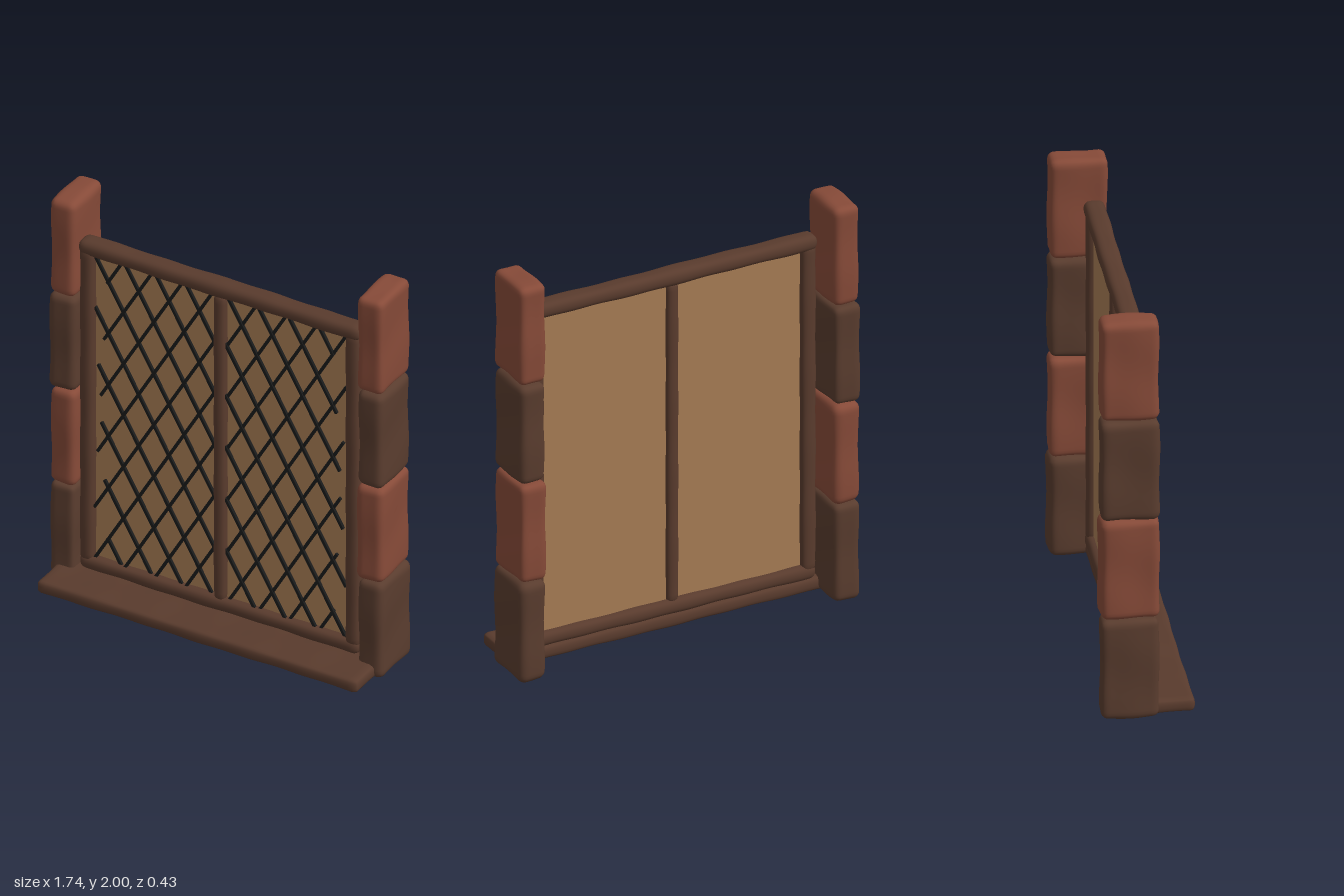
import * as THREE from 'three';
import { mergeVertices } from 'three/addons/utils/BufferGeometryUtils.js';

const mat = (name, color) => {
  const m = new THREE.MeshStandardMaterial({ color });
  m.name = name;
  return m;
};

// Rounded box with a gentle hand-hewn wobble, smooth shaded
function hewnBox(w, h, d, radius, wobble, seed, step) {
  const n = (s) => Math.max(5, Math.min(70, Math.round(s / step)));
  let g = new THREE.BoxGeometry(w, h, d, n(w), n(h), n(d));
  g.deleteAttribute('uv');
  g.deleteAttribute('normal');
  g = mergeVertices(g, 1e-5);
  const half = new THREE.Vector3(w / 2 - radius, h / 2 - radius, d / 2 - radius);
  const p = g.attributes.position;
  const v = new THREE.Vector3(), core = new THREE.Vector3();
  for (let i = 0; i < p.count; i++) {
    v.fromBufferAttribute(p, i);
    core.copy(v).clamp(half.clone().negate(), half);
    const dir = v.clone().sub(core).normalize();
    const bump = Math.sin(v.x * 23 + seed * 1.7) + Math.sin(v.y * 17 + seed * 2.9 + v.z * 9)
      + Math.sin(v.z * 25 + seed * 4.1 + v.x * 8);
    v.copy(core).addScaledVector(dir, radius + wobble * (bump / 3 - 0.3));
    p.setXYZ(i, v.x, v.y, v.z);
  }
  g.computeVertexNormals();
  return g;
}

export function createModel() {
  const model = new THREE.Group();
  model.name = 'latticeWindow';
  const brick = mat('red brick', 0x864a38);
  const stone = mat('brown stone', 0x593c2e);
  const wood = mat('dark wood', 0x593b2d);
  const pane = mat('amber pane', 0xa67c54);
  const lead = mat('black lead', 0x191a1a);

  const add = (name, geometry, material, x, y, z) => {
    const mesh = new THREE.Mesh(geometry, material);
    mesh.name = name;
    mesh.position.set(x, y, z);
    model.add(mesh);
    return mesh;
  };
  // Beam given by its limits on each axis
  const beam = (name, [x0, x1], [y0, y1], [z0, z1], radius, seed) =>
    add(name, hewnBox(x1 - x0, y1 - y0, z1 - z0, radius, 0.004, seed, 0.013), wood,
      (x0 + x1) / 2, (y0 + y1) / 2, (z0 + z1) / 2);

  // Stacked blocks on both sides, alternating colours
  for (const side of [-1, 1]) {
    for (let i = 0; i < 4; i++) {
      add((side > 0 ? 'left' : 'right') + 'Block' + (i + 1),
        hewnBox(0.135, 0.496, 0.268, 0.034, 0.008, i * 2 + side + 3, 0.014),
        i % 2 ? brick : stone, side * 0.797, 0.256 + i * 0.497, -0.08);
    }
  }

  // Sill and window frame
  beam('sill', [-0.83, 0.83], [0.008, 0.075], [-0.05, 0.216], 0.024, 1);
  beam('bottomRail', [-0.725, 0.725], [0.072, 0.147], [-0.062, 0.032], 0.033, 2);
  beam('topRail', [-0.73, 0.73], [1.73, 1.806], [-0.066, 0.032], 0.033, 5);
  beam('leftPost', [0.65, 0.728], [0.11, 1.77], [-0.06, 0.03], 0.034, 3);
  beam('rightPost', [-0.728, -0.65], [0.11, 1.77], [-0.06, 0.03], 0.034, 4);
  beam('centrePost', [-0.033, 0.033], [0.125, 1.745], [-0.055, 0.027], 0.03, 6);

  // Pane
  add('pane', new THREE.BoxGeometry(1.34, 1.64, 0.016), pane, 0, 0.935, -0.018);

  // Diagonal lead bars at sixty degrees, mirrored about the middle height and the centre post
  const slope = Math.sqrt(3), bottom = 0.14, top = 1.732, middle = 0.935;
  for (let i = -5; i <= 4; i++) {
    const c = 0.334 - 0.272 * i;
    const xMax = Math.min(0.652 - 0.0165 * Math.max(i, 0), (top - c) / slope);
    const xMin = Math.max(0.025, (bottom - c) / slope);
    const length = (xMax - xMin) * 2;
    if (length < 0.04) continue;
    const x = (xMin + xMax) / 2, y = slope * x + c;
    const geometry = new THREE.BoxGeometry(length, 0.014, 0.014);
    for (const side of [-1, 1]) {
      for (const flip of [-1, 1]) {
        const bar = add('latticeBar', geometry, lead,
          side * x, middle + flip * (y - middle), flip > 0 ? -0.004 : 0.001);
        bar.rotation.z = side * flip * Math.PI / 3;
      }
    }
  }
  return model;
}
